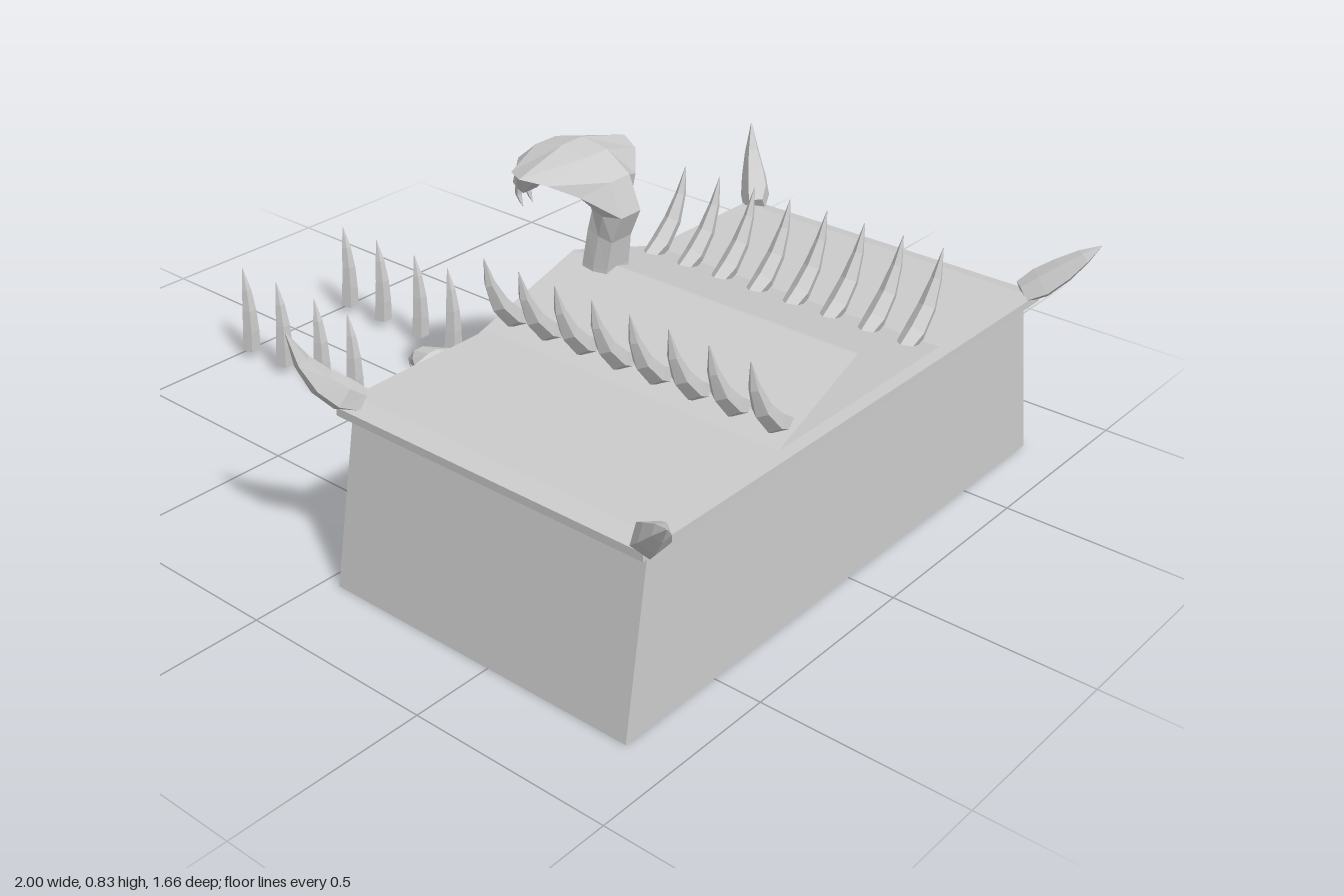
import * as THREE from 'three';

const grey = new THREE.MeshStandardMaterial({ color: 0xcccccc, flatShading: true, side: THREE.DoubleSide });
const MID = -0.025; // z of the entrance axis

function add(parent, name, geometry) {
  const mesh = new THREE.Mesh(geometry, grey);
  mesh.name = name;
  parent.add(mesh);
  return mesh;
}

// Box with separate bottom and top rectangles [x0, x1, z0, z1]; skip lists omitted
// faces (0 +x, 1 -x, 2 top, 3 bottom, 4 +z, 5 -z)
function frustum(bottom, top, y0, y1, skip = []) {
  const g = new THREE.BoxGeometry(1, 1, 1);
  const p = g.attributes.position;
  for (let i = 0; i < p.count; i++) {
    const up = p.getY(i) > 0;
    const r = up ? top : bottom;
    p.setXYZ(i, p.getX(i) > 0 ? r[1] : r[0], up ? y1 : y0, p.getZ(i) > 0 ? r[3] : r[2]);
  }
  g.setIndex(Array.from(g.index.array).filter((_, i) => !skip.includes(Math.floor(i / 6))));
  g.clearGroups();
  g.computeVertexNormals();
  return g;
}

// Skin a series of cross-sections along a path; section(i) gives [normal, side] offsets
function loft(path, side, section) {
  const pos = [], index = [];
  const n = path.length, m = section(0).length;
  path.forEach((c, i) => {
    const t = path[Math.min(i + 1, n - 1)].clone().sub(path[Math.max(i - 1, 0)]).normalize();
    const normal = side.clone().cross(t).normalize();
    for (const [a, b] of section(i)) {
      const v = c.clone().addScaledVector(normal, a).addScaledVector(side, b);
      pos.push(v.x, v.y, v.z);
    }
  });
  for (let i = 0; i < n - 1; i++) {
    for (let j = 0; j < m; j++) {
      const a = i * m + j, b = i * m + (j + 1) % m;
      index.push(a, b, a + m, b, b + m, a + m);
    }
  }
  const last = (n - 1) * m;
  for (let j = 1; j < m - 1; j++) index.push(0, j + 1, j, last, last + j, last + j + 1);
  const g = new THREE.BufferGeometry();
  g.setAttribute('position', new THREE.Float32BufferAttribute(pos, 3));
  g.setIndex(index);
  g.computeVertexNormals();
  return g;
}

// Curved tapering horn through a few points
function horn(points, side, radius, widths = [0.75, 1, 0.85, 0.5, 0.03]) {
  const curve = new THREE.CatmullRomCurve3(points.map((p) => new THREE.Vector3(...p)));
  return loft(curve.getPoints(widths.length - 1), side, (i) =>
    Array.from({ length: 5 }, (_, k) => {
      const a = (k / 5) * Math.PI * 2;
      return [Math.cos(a) * radius * widths[i], Math.sin(a) * radius * widths[i]];
    }));
}

// Hooded serpent: points are [x, y, half thickness, body half width, hood half width]
function serpent(name, points, z, fang) {
  const group = new THREE.Group();
  group.name = name;
  const side = new THREE.Vector3(0, 0, 1);
  const path = points.map(([x, y]) => new THREE.Vector3(x, y, z));
  add(group, 'hoodedBody', loft(path, side, (i) => {
    const [, , t, c, w] = points[i];
    return [[t, -c], [t, c], [0, w], [-t, c], [-t, -c], [0, -w]];
  }));
  const [hx, hy, , hc] = points[points.length - 1];
  for (const s of [-1, 1]) {
    const fz = z + s * hc * 0.7;
    add(group, 'fang', horn([[hx, hy + fang * 0.3, fz], [hx - fang * 0.1, hy - fang * 0.4, fz],
      [hx + fang * 0.2, hy - fang, fz]], side, fang * 0.2));
  }
  return group;
}

export function createModel() {
  const model = new THREE.Group();
  const zAxis = new THREE.Vector3(0, 0, 1), xAxis = new THREE.Vector3(1, 0, 0);

  // Hall: sloping walls, open below, with a doorway in the entrance wall
  add(model, 'hallWalls', frustum([0.04, 0.88, -0.79, 0.79], [0.04, 0.87, -0.72, 0.72], 0, 0.43, [1, 2, 3]));
  const wall = new THREE.Shape([[-0.79, 0], [0.79, 0], [0.72, 0.43], [-0.72, 0.43]].map((p) => new THREE.Vector2(...p)));
  const door = [[MID - 0.15, 0.21], [MID + 0.15, 0.21], [MID + 0.12, 0.38], [MID - 0.12, 0.38]];
  wall.holes.push(new THREE.Path(door.map((p) => new THREE.Vector2(...p))));
  const wallGeo = new THREE.ShapeGeometry(wall);
  wallGeo.rotateY(-Math.PI / 2);
  wallGeo.translate(0.04, 0, 0);
  add(model, 'entranceWall', wallGeo);
  add(model, 'doorRecess', frustum([0.04, 0.14, MID - 0.15, MID + 0.15],
    [0.04, 0.14, MID - 0.12, MID + 0.12], 0.21, 0.38, [1]));

  // Roof: rim, shallow upper layer, low gable with a leaning rear end
  const rim = [0.03, 0.89, -0.76, 0.76];
  add(model, 'roofRim', frustum(rim, rim, 0.425, 0.445));
  add(model, 'roofTop', frustum(rim, [0.035, 0.885, -0.71, 0.71], 0.445, 0.457));
  add(model, 'gable', frustum([0.027, 0.87, -0.35, 0.31], [0.027, 0.845, MID - 0.004, MID + 0.004], 0.452, 0.55));

  // Rows of spikes curving outward on the roof
  for (let i = 0; i < 8; i++) {
    const x = 0.085 + i * 0.106;
    for (const s of [-1, 1]) {
      const at = (y, d) => [x, y, -0.018 + s * d];
      add(model, 'roofSpike', horn([at(0.465, 0.215), at(0.51, 0.29), at(0.585, 0.34), at(0.675, 0.366)], xAxis, 0.027));
    }
  }

  // Horns on the four roof corners
  for (const sz of [-1, 1]) {
    for (const [x, dx, tipY] of [[0.065, -0.105, 0.63], [0.865, 0.135, 0.58]]) {
      const sx = Math.sign(dx);
      const side = new THREE.Vector3(sz, 0, -sx).normalize();
      add(model, 'cornerHorn', horn([[x, 0.455, sz * 0.715], [x + dx * 0.3, 0.485, sz * 0.76],
        [x + dx * 0.7, 0.54, sz * 0.80], [x + dx, tipY, sz * 0.83]], side, 0.04));
    }
  }

  // Large serpent over the entrance
  model.add(serpent('roofSerpent', [
    [0.12, 0.45, 0.04, 0.05, 0.055], [0.125, 0.55, 0.038, 0.04, 0.046], [0.135, 0.63, 0.038, 0.035, 0.04],
    [0.155, 0.69, 0.045, 0.035, 0.05], [0.13, 0.745, 0.045, 0.035, 0.1], [0.08, 0.78, 0.042, 0.035, 0.16],
    [0.02, 0.79, 0.04, 0.035, 0.19], [-0.05, 0.775, 0.038, 0.035, 0.14], [-0.1, 0.735, 0.035, 0.032, 0.07],
    [-0.135, 0.675, 0.02, 0.025, 0.03]], -0.03, 0.05));

  // Entrance platform
  add(model, 'platform', frustum([-0.33, 0.05, -0.35, 0.30], [-0.21, 0.05, -0.2, 0.155], 0.01, 0.21, [0, 3]));

  // Staircase
  for (let i = 0; i < 10; i++) {
    const x = -0.425 + i * 0.0185, half = 0.13 - i * 0.003;
    const r = [x, -0.23, MID - half, MID + half];
    add(model, 'step', frustum(r, r, i * 0.019, 0.019 * (i + 1)));
  }

  // Stair rails, drawing together towards the top
  const rail = new THREE.Shape([[-0.45, 0.012], [-0.33, 0.012], [-0.18, 0.21], [-0.25, 0.21]].map((p) => new THREE.Vector2(...p)));
  for (const s of [-1, 1]) {
    const g = new THREE.ExtrudeGeometry(rail, { depth: 0.03, bevelEnabled: false });
    const p = g.attributes.position;
    for (let i = 0; i < p.count; i++) {
      const spread = 0.105 + 0.032 * (-0.25 - p.getX(i)) / 0.2;
      p.setZ(i, MID + s * spread + p.getZ(i) - 0.015);
    }
    g.computeVertexNormals();
    add(model, 'stairRail', g);
  }

  // Pedestals with small serpents beside the platform
  for (const z of [0.318, -0.333]) {
    const r = [-0.18, -0.045, z - 0.068, z + 0.068];
    add(model, 'pedestal', frustum(r, r, 0.005, 0.14));
    model.add(serpent('pedestalSerpent', [
      [-0.115, 0.14, 0.02, 0.025, 0.028], [-0.11, 0.18, 0.018, 0.018, 0.022], [-0.07, 0.225, 0.016, 0.015, 0.02],
      [-0.058, 0.28, 0.016, 0.015, 0.05], [-0.078, 0.32, 0.016, 0.016, 0.092], [-0.12, 0.343, 0.016, 0.016, 0.06],
      [-0.16, 0.335, 0.016, 0.015, 0.028], [-0.185, 0.31, 0.01, 0.012, 0.015]], z, 0.02));
  }

  // Avenue of curved posts
  for (const x of [-0.972, -0.834, -0.684, -0.556]) {
    for (const z of [0.183, -0.187]) {
      add(model, 'avenuePost', horn([[x, 0.02, z], [x + 0.004, 0.1, z], [x, 0.18, z], [x - 0.013, 0.26, z]],
        zAxis, 0.026, [1, 0.9, 0.75, 0.5, 0.03]));
    }
  }
  return model;
}
